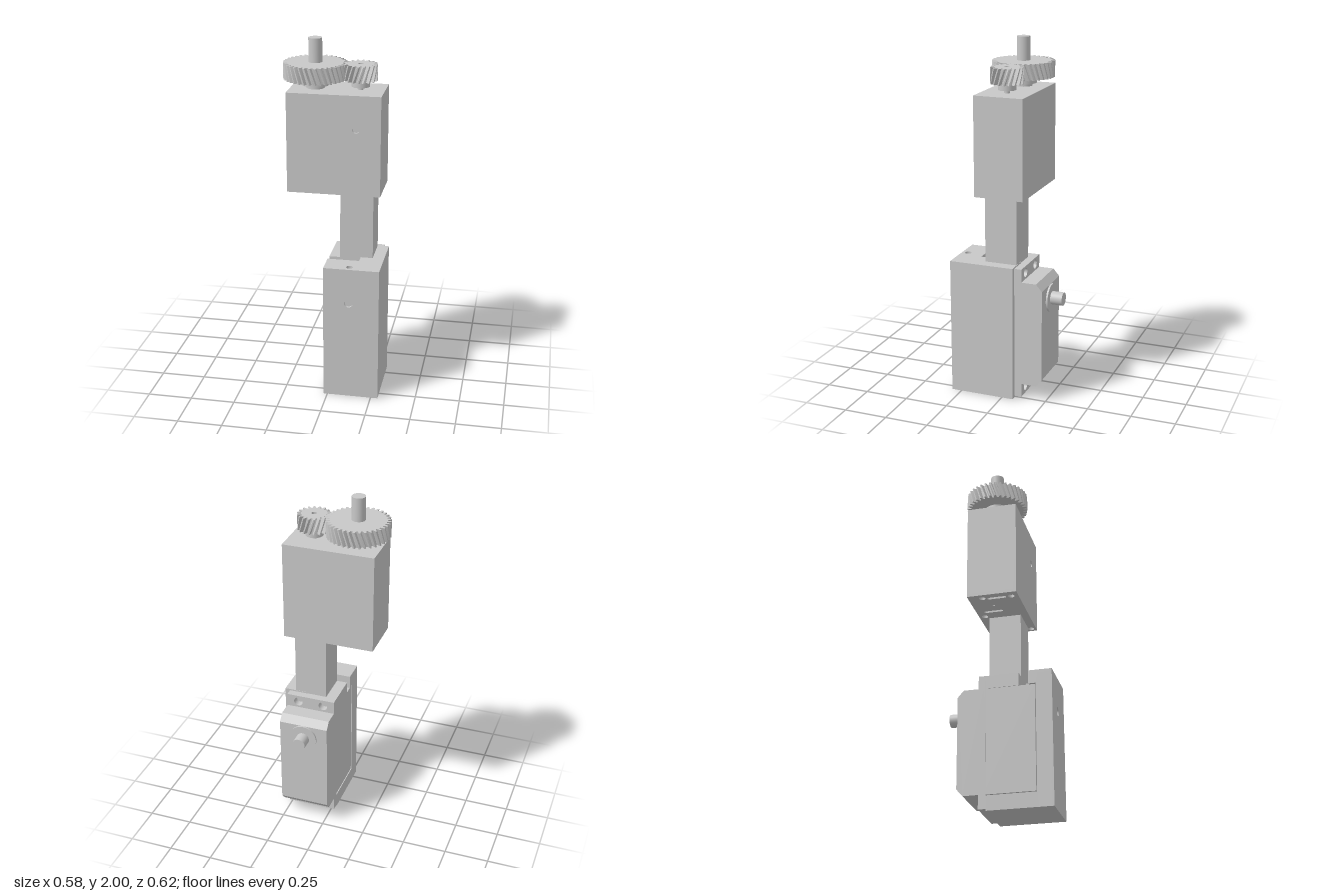
import * as THREE from 'three';

const metal = new THREE.MeshStandardMaterial({ color: 0xc8c8c8 });
metal.name = 'plainGrey';

export function createModel() {
  const model = new THREE.Group();
  model.name = 'gearedActuator';

  const add = (parent, name, geometry) => {
    const mesh = new THREE.Mesh(geometry, metal);
    mesh.name = name;
    parent.add(mesh);
    return mesh;
  };
  const group = (name) => {
    const g = new THREE.Group();
    g.name = name;
    model.add(g);
    return g;
  };

  // Box given by its limits
  const box = (parent, name, x0, x1, y0, y1, z0, z1) =>
    add(parent, name, new THREE.BoxGeometry(x1 - x0, y1 - y0, z1 - z0)
      .translate((x0 + x1) / 2, (y0 + y1) / 2, (z0 + z1) / 2));

  // Upright cylinder from y0 to y1
  const rod = (parent, name, x, z, r, y0, y1) =>
    add(parent, name, new THREE.CylinderGeometry(r, r, y1 - y0, 40)
      .translate(x, (y0 + y1) / 2, z));

  const polygon = (points) => new THREE.Shape(points.map(([a, b]) => new THREE.Vector2(a, b)));

  // Rectangular plate with round or slotted holes [u, v, radius, half slot length]
  const plate = (u0, u1, v0, v1, depth, holes) => {
    const shape = polygon([[u0, v0], [u1, v0], [u1, v1], [u0, v1]]);
    for (const [u, v, r, s = 0] of holes) {
      const p = new THREE.Path();
      p.absarc(u, v + s, r, 0, Math.PI, false);
      p.absarc(u, v - s, r, Math.PI, Math.PI * 2, false);
      shape.holes.push(p);
    }
    return new THREE.ExtrudeGeometry(shape, { depth, bevelEnabled: false, curveSegments: 16 });
  };
  const lay = (g) => g.rotateX(Math.PI / 2); // v becomes z, depth runs down

  // Side profile of (z, y) points extruded from x0 to x1
  const sideProfile = (points, x0, x1) =>
    new THREE.ExtrudeGeometry(polygon(points.map(([z, y]) => [-z, y])), { depth: x1 - x0, bevelEnabled: false })
      .rotateY(Math.PI / 2).translate(x0, 0, 0);

  // Lower housing, open on its right side
  const housing = group('lowerHousing');
  box(housing, 'housingLeftWall', 0.157, 0.29, 0, 0.783, -0.067, 0.225);
  add(housing, 'housingOpenSide', sideProfile([
    [-0.067, 0], [0.225, 0], [0.225, 0.783], [0.174, 0.783],
    [0.174, 0.705], [0.215, 0.705], [0.215, 0.085], [-0.067, 0.085],
  ], -0.022, 0.157));
  box(housing, 'housingFrontBlock', -0.022, 0.29, 0, 0.768, 0.225, 0.292);
  add(housing, 'housingFrontPlate',
    plate(-0.022, 0.29, 0, 0.783, 0.015, [[0.12, 0.58, 0.024]]).translate(0, 0, 0.292));
  add(housing, 'housingTopPlate',
    lay(plate(-0.022, 0.29, 0.225, 0.292, 0.015, [[0.12, 0.27, 0.019]])).translate(0, 0.783, 0));

  // Drive motor with mounting ears, chamfered cover and output shaft
  const motor = group('driveMotor');
  box(motor, 'motorCore', -0.019, 0.157, 0.09, 0.7, -0.08, 0.21);
  add(motor, 'motorCover', sideProfile([
    [-0.08, 0.09], [-0.08, 0.7], [-0.195, 0.7], [-0.23, 0.66], [-0.23, 0.13], [-0.195, 0.09],
  ], -0.022, 0.262));
  const earHoles = [];
  for (const x of [0.045, 0.195]) for (const y of [0.05, 0.737]) earHoles.push([x, y, 0.026]);
  add(motor, 'mountingEars', plate(-0.022, 0.262, 0.01, 0.775, 0.042, earHoles).translate(0, 0, -0.109));
  box(motor, 'upperEarBlock', -0.022, 0.16, 0.7, 0.775, -0.068, 0.12);
  for (const [name, r, z0, z1] of [['outputCollar', 0.08, -0.24, -0.22], ['outputShaft', 0.0375, -0.308, -0.22]]) {
    add(motor, name, new THREE.CylinderGeometry(r, r, z1 - z0, 40)
      .rotateX(Math.PI / 2).translate(0.12, 0.58, (z0 + z1) / 2));
  }

  // Connecting column
  box(model, 'column', 0.04, 0.225, 0.7, 1.17, -0.065, 0.12);

  // Gearbox with drilled front and underside
  const gearbox = group('gearbox');
  box(gearbox, 'gearboxBody', -0.25, 0.268, 1.18, 1.725, -0.118, 0.15);
  add(gearbox, 'gearboxFront',
    plate(-0.25, 0.268, 1.18, 1.725, 0.015, [[0.132, 1.538, 0.02]]).translate(0, 0, 0.15));
  add(gearbox, 'gearboxUnderside', lay(plate(-0.25, 0.268, -0.118, 0.165, 0.017, [
    [-0.21, -0.04, 0.018], [-0.2, 0.125, 0.018], [0.015, -0.085, 0.018],
    [0.24, -0.09, 0.018], [0.24, 0.135, 0.018], [-0.11, 0.0, 0.006],
    [-0.2, 0.04, 0.01, 0.045], [-0.04, -0.02, 0.01, 0.045],
  ])).translate(0, 1.18, 0));

  // Helical gear: a toothed outline extruded and twisted about its axis
  const gear = (parent, name, x, z, teeth, rootR, tipR, bore, twist, phase) => {
    const y0 = 1.777, height = 0.09, pitch = Math.PI * 2 / teeth;
    const points = [];
    for (let i = 0; i < teeth; i++) {
      for (const [f, r] of [[-0.34, rootR], [-0.24, (rootR + tipR) / 2], [-0.13, tipR],
        [0.13, tipR], [0.24, (rootR + tipR) / 2], [0.34, rootR]]) {
        const a = (i + f) * pitch + phase;
        points.push([Math.cos(a) * r, Math.sin(a) * r]);
      }
    }
    const shape = polygon(points);
    shape.holes.push(new THREE.Path().absarc(0, 0, bore, 0, Math.PI * 2, true));
    const g = new THREE.ExtrudeGeometry(shape, { depth: height, steps: 6, bevelEnabled: false })
      .rotateX(-Math.PI / 2);
    const p = g.attributes.position, v = new THREE.Vector3(), up = new THREE.Vector3(0, 1, 0);
    for (let i = 0; i < p.count; i++) {
      v.fromBufferAttribute(p, i);
      v.applyAxisAngle(up, twist * (v.y / height - 1));
      p.setXYZ(i, v.x, v.y, v.z);
    }
    g.computeVertexNormals();
    add(parent, name, g.translate(x, y0, z));
  };

  // Large gear on its output spindle
  const large = group('largeGearAssembly');
  const lx = -0.115, sx = 0.134, gz = 0.023;
  gear(large, 'largeGear', lx, gz, 36, 0.153, 0.175, 0.036, -0.18, 0);
  rod(large, 'largeHub', lx, gz, 0.075, 1.742, 1.778);
  rod(large, 'largeWasher', lx, gz, 0.05, 1.72, 1.742);
  rod(large, 'spindle', lx, gz, 0.0375, 1.72, 2.0);

  // Small pinion on its pin
  const small = group('pinionAssembly');
  gear(small, 'pinion', sx, gz, 18, 0.07, 0.092, 0.015, 0.36, Math.PI / 18);
  rod(small, 'pinionHub', sx, gz, 0.05, 1.743, 1.778);
  rod(small, 'pinionPin', sx, gz, 0.0155, 1.72, 1.855);

  return model;
}
